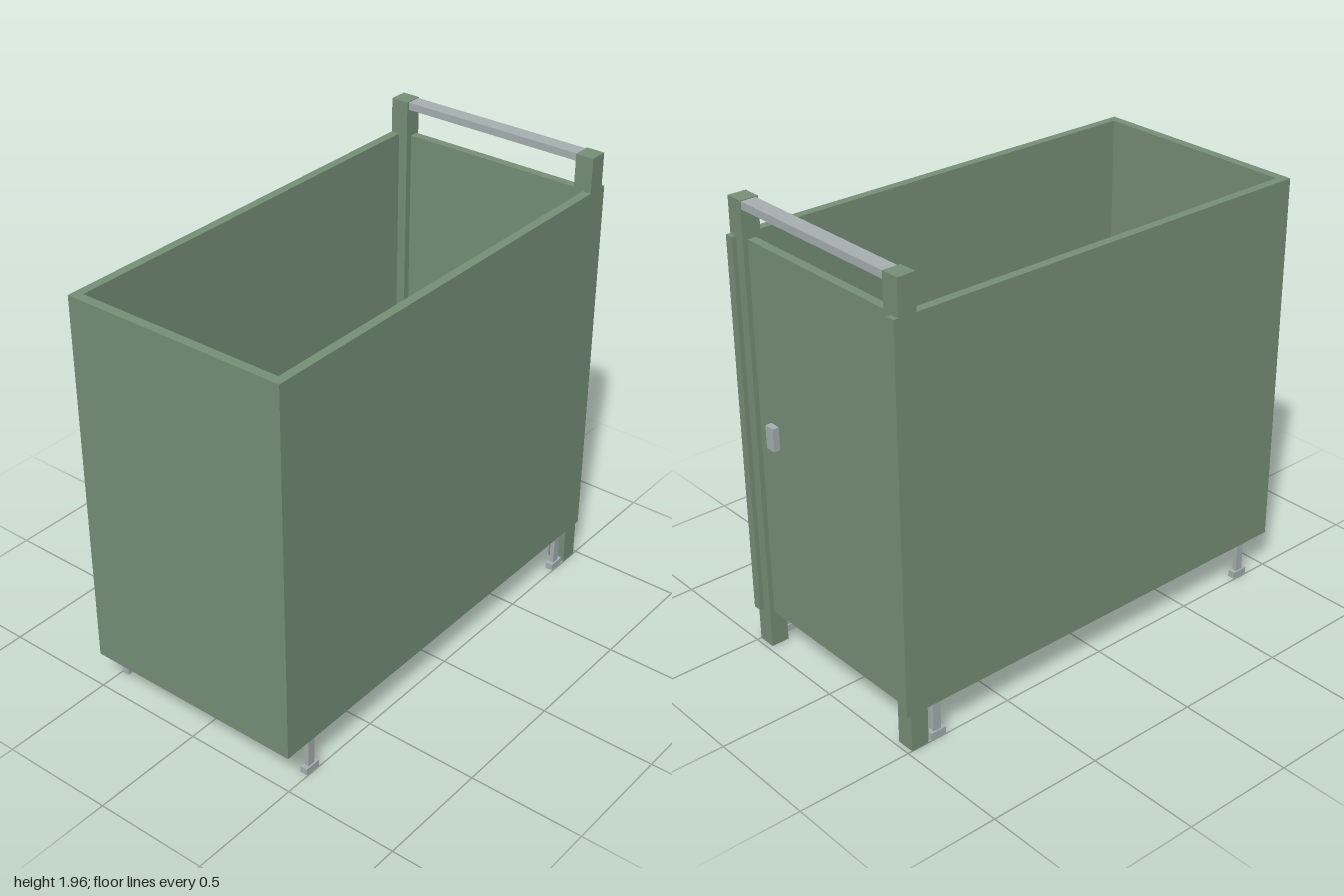
import * as THREE from 'three';

export function createModel() {
  const model = new THREE.Group();
  model.name = 'toiletStall';
  const mat = (name, color) => {
    const m = new THREE.MeshStandardMaterial({ color, flatShading: true });
    m.name = name;
    return m;
  };
  const green = mat('partitionGreen', 0x779078);
  const cream = mat('ceramicCream', 0xcbc1b0);
  const steel = mat('steelGrey', 0xa7b0b2);

  const add = (name, geo, material) => {
    const mesh = new THREE.Mesh(geo, material);
    mesh.name = name;
    model.add(mesh);
    return mesh;
  };
  // Box given by its lower and upper limits on each axis
  const box = (name, material, [x0, x1], [y0, y1], [z0, z1]) =>
    add(name, new THREE.BoxGeometry(x1 - x0, y1 - y0, z1 - z0), material)
      .position.set((x0 + x1) / 2, (y0 + y1) / 2, (z0 + z1) / 2);
  // Stack of elliptical rings [y, radiusX, radiusZ, centreZ], closed at both ends
  const loft = (name, material, rings) => {
    const first = rings[0], last = rings[rings.length - 1];
    const all = [[first[0], 0, 0, first[3]], ...rings, [last[0], 0, 0, last[3]]];
    const geo = new THREE.LatheGeometry(all.map((r, i) => new THREE.Vector2(1, i)), 24).toNonIndexed();
    const p = geo.attributes.position;
    for (let i = 0; i < p.count; i++) {
      const [y, rx, rz, cz] = all[Math.round(p.getY(i))];
      p.setXYZ(i, p.getX(i) * rx, y, p.getZ(i) * rz + cz);
    }
    geo.computeVertexNormals();
    return add(name, geo, material);
  };

  // Partition walls
  const wallY = [0.165, 1.81];
  box('frontPanel', green, [-0.5, 0.5], wallY, [0.96, 1]);
  for (const s of [-1, 1]) {
    const side = s > 0 ? 'left' : 'right';
    const span = (a, b) => (s > 0 ? [a, b] : [-b, -a]);
    box(side + 'Panel', green, span(0.462, 0.5), wallY, [-1, 0.96]);
    box(side + 'Post', green, span(0.42, 0.5), [0, 1.96], [-0.98, -0.9]);
    // Short adjustable legs under the side walls
    for (const z of [0.852, -0.848]) {
      box(side + 'Leg', steel, span(0.47, 0.49), [0.02, 0.17], [z - 0.018, z + 0.018]);
      box(side + 'Foot', steel, span(0.464, 0.497), [0, 0.03], [z - 0.036, z + 0.036]);
    }
  }

  // Door, latch and head rail
  box('door', green, [-0.415, 0.415], [0.168, 1.805], [-0.962, -0.924]);
  box('headRail', steel, [-0.42, 0.42], [1.925, 1.957], [-0.976, -0.91]);
  box('latch', steel, [0.292, 0.34], [0.97, 1.07], [-0.99, -0.896]);

  // Toilet bowl, seat and lid
  loft('toiletBowl', cream, [
    [0, 0.115, 0.178, 0.442], [0.07, 0.115, 0.178, 0.442],
    [0.16, 0.1, 0.135, 0.438], [0.22, 0.094, 0.122, 0.435],
    [0.3, 0.14, 0.18, 0.43], [0.38, 0.19, 0.24, 0.427],
    [0.45, 0.222, 0.28, 0.425], [0.495, 0.222, 0.28, 0.425],
  ]);
  const slab = (y, h, k) => [[y, 0.228 * k, 0.288 * k, 0.425], [y + h, 0.228 * k, 0.288 * k, 0.425]];
  loft('seatSpacer', cream, slab(0.49, 0.05, 0.94));
  loft('toiletSeat', cream, slab(0.505, 0.025, 1));
  loft('toiletLid', cream, slab(0.538, 0.025, 1));

  // Cistern, its support and flush button
  box('cisternSupport', cream, [-0.055, 0.055], [0.43, 0.55], [0.64, 0.8]);
  box('cistern', cream, [-0.205, 0.205], [0.53, 0.96], [0.738, 0.898]);
  box('cisternLid', cream, [-0.215, 0.215], [0.96, 1], [0.73, 0.906]);
  add('flushButton', new THREE.CylinderGeometry(0.024, 0.024, 0.02, 16), steel).position.set(0, 1.005, 0.82);

  // Waste pipe running from the base towards the front wall
  const pipe = add('wastePipe', new THREE.CylinderGeometry(0.056, 0.056, 0.375, 8), cream);
  pipe.rotation.x = Math.PI / 2;
  pipe.position.set(0, 0.126, 0.717);

  // Paper roll with hanging sheet on the right wall
  const roll = add('paperRoll', new THREE.CylinderGeometry(0.05, 0.05, 0.14, 8), cream);
  roll.rotation.z = Math.PI / 2;
  roll.position.set(-0.375, 0.65, 0.005);
  box('paperSheet', cream, [-0.445, -0.305], [0.55, 0.65], [-0.045, -0.038]);
  const rod = add('rollHolder', new THREE.CylinderGeometry(0.012, 0.012, 0.1, 8), steel);
  rod.rotation.z = Math.PI / 2;
  rod.position.set(-0.415, 0.65, 0.005);

  return model;
}
